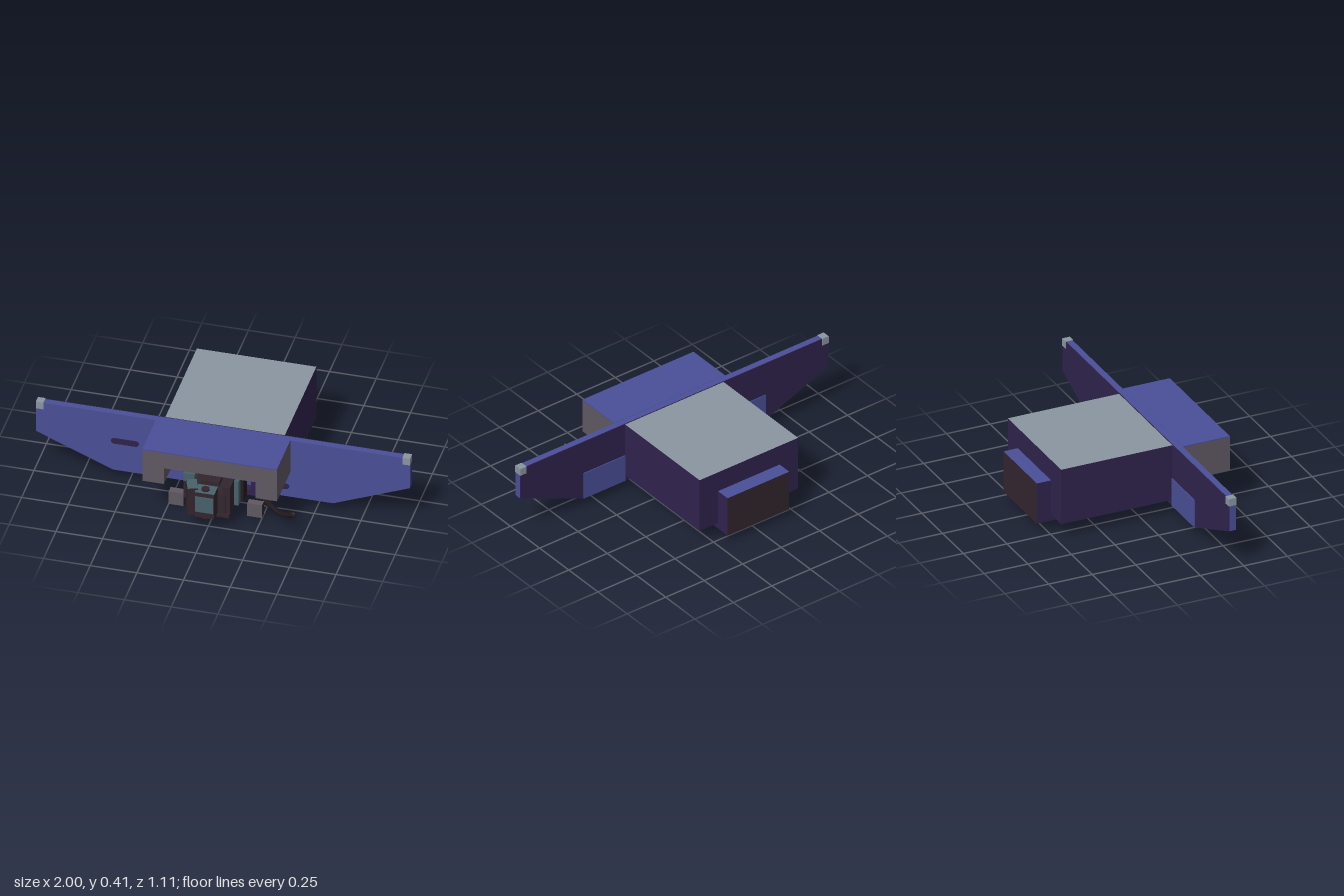
import * as THREE from 'three';

const mat = (name, color) => {
  const m = new THREE.MeshStandardMaterial({ color });
  m.name = name;
  return m;
};

export function createModel() {
  const blue = mat('blue paint', 0x4a4f98);
  const purple = mat('dark purple paint', 0x30234e);
  const silver = mat('silver', 0x8b96a2);
  const grey = mat('warm grey', 0x605862);
  const dark = mat('dark iron', 0x33262e);
  const black = mat('black rubber', 0x231b1e);
  const teal = mat('teal steel', 0x48626b);

  const model = new THREE.Group();
  const add = (name, geometry, material) => {
    const mesh = new THREE.Mesh(geometry, material);
    mesh.name = name;
    model.add(mesh);
    return mesh;
  };
  // Box given by its limits on each axis
  const box = (name, material, x0, x1, y0, y1, z0, z1) => {
    const mesh = add(name, new THREE.BoxGeometry(x1 - x0, y1 - y0, z1 - z0), material);
    mesh.position.set((x0 + x1) / 2, (y0 + y1) / 2, (z0 + z1) / 2);
    return mesh;
  };
  const outline = (points) => new THREE.Shape(points.map(([x, y]) => new THREE.Vector2(x, y)));

  // Main body, with a silver roof, a narrower keel and a rear box
  box('body', [purple, purple, silver, purple, purple, purple], -0.32, 0.32, 0.085, 0.403, -0.473, 0.165);
  box('keel', purple, -0.2, 0.2, 0.05, 0.085, -0.473, 0.245);
  box('rearBox', [purple, purple, blue, purple, purple, dark], -0.2, 0.2, 0.05, 0.285, -0.555, -0.473);

  // Wide front panel with slanted lower corners
  const panel = outline([[-1, 0.22], [-0.59, 0.05], [0.59, 0.05], [1, 0.22], [1, 0.405], [-1, 0.405]]);
  const panelGeometry = new THREE.ExtrudeGeometry(panel, { depth: 0.036, bevelEnabled: false });
  add('frontPanel', panelGeometry, blue).position.z = 0.169;
  const panelBack = new THREE.ExtrudeGeometry(panel, { depth: 0.004, bevelEnabled: false });
  add('panelBacking', panelBack, purple).position.z = 0.165;

  // Corner lamps and blue plates behind the panel
  for (const s of [-1, 1]) {
    const lamp = box('cornerLamp', silver, -0.0205, 0.0205, 0.365, 0.407, 0.163, 0.207);
    lamp.position.x = s * 0.981;
    const plate = box('backPlate', blue, -0.135, 0.135, 0.052, 0.21, 0.16, 0.165);
    plate.position.x = s * 0.455;
  }

  // Rounded slots on the front
  for (const [x0, x1, y] of [[-0.6, -0.45, 0.235], [-0.405, -0.285, 0.113], [0.28, 0.355, 0.113]]) {
    const r = 0.017;
    const slot = new THREE.Shape();
    slot.absarc(x0 + r, y, r, Math.PI / 2, Math.PI * 1.5);
    slot.absarc(x1 - r, y, r, -Math.PI / 2, Math.PI / 2);
    add('slot', new THREE.ExtrudeGeometry(slot, { depth: 0.004, bevelEnabled: false, curveSegments: 4 }), purple).position.z = 0.205;
  }

  // Hood over the coupler: an upside-down U with a blue top
  const hood = outline([[-0.36, 0.205], [-0.245, 0.205], [-0.245, 0.305], [0.245, 0.305],
    [0.245, 0.205], [0.36, 0.205], [0.36, 0.4], [-0.36, 0.4]]);
  add('hood', new THREE.ExtrudeGeometry(hood, { depth: 0.27, bevelEnabled: false }), grey).position.z = 0.205;
  box('hoodTop', blue, -0.36, 0.36, 0.4, 0.406, 0.205, 0.475);

  // Posts beside the coupler and feet below
  for (const s of [-1, 1]) {
    box('couplerPost', purple, -0.02, 0.02, 0.085, 0.29, 0.205, 0.245).position.x = s * 0.18;
    box('foot', [dark, dark, grey, dark, grey, dark], -0.04, 0.04, 0, 0.08, 0.32, 0.36).position.x = s * 0.21;
  }
  box('postBridge', purple, -0.16, 0.16, 0.28, 0.29, 0.205, 0.245);

  // Coupler: shank, side jaws, teal fittings, head and pin
  box('couplerShank', dark, -0.09, 0.09, 0.085, 0.205, 0.205, 0.49);
  box('couplerLeftArm', dark, 0.07, 0.11, 0.085, 0.245, 0.3, 0.48);
  box('couplerRightArm', dark, -0.16, -0.09, 0.085, 0.195, 0.24, 0.4);
  box('rightFitting', teal, -0.16, -0.1, 0.19, 0.24, 0.34, 0.4);
  box('leftFitting', teal, 0.11, 0.135, 0.085, 0.235, 0.36, 0.4);
  box('leftCable', black, 0.135, 0.15, 0.085, 0.235, 0.29, 0.36);
  const jaw = box('couplerJaw', [dark, dark, teal, dark, dark, dark], -0.115, -0.06, 0.085, 0.25, 0.455, 0.54);
  jaw.rotation.y = 0.35;
  box('couplerHead', [dark, dark, teal, dark, dark, dark], -0.06, 0.045, 0.085, 0.24, 0.475, 0.552);
  box('couplerFace', teal, -0.058, 0.04, 0.12, 0.215, 0.552, 0.556);
  const pin = add('couplerPin', new THREE.CylinderGeometry(0.022, 0.022, 0.18, 8), dark);
  pin.position.set(-0.01, 0.16, 0.518);
  box('couplerTop', dark, -0.05, 0.05, 0.24, 0.262, 0.4, 0.47);
  box('couplerBase', dark, -0.1, 0.11, 0.068, 0.085, 0.36, 0.5);

  // Hose reaching out on the left side
  const hosePoints = [[0.22, 0.05, 0.25], [0.35, 0.07, 0.39], [0.4, 0.1, 0.44], [0.455, 0.15, 0.495]];
  const hosePath = new THREE.CurvePath();
  const v = hosePoints.map((p) => new THREE.Vector3(...p));
  for (let i = 0; i < 3; i++) hosePath.add(new THREE.LineCurve3(v[i], v[i + 1]));
  add('hose', new THREE.TubeGeometry(hosePath, 12, 0.015, 6), black);
  for (const end of [v[0], v[3]]) {
    add('hoseEnd', new THREE.IcosahedronGeometry(0.016, 0), black).position.copy(end);
  }

  return model;
}
